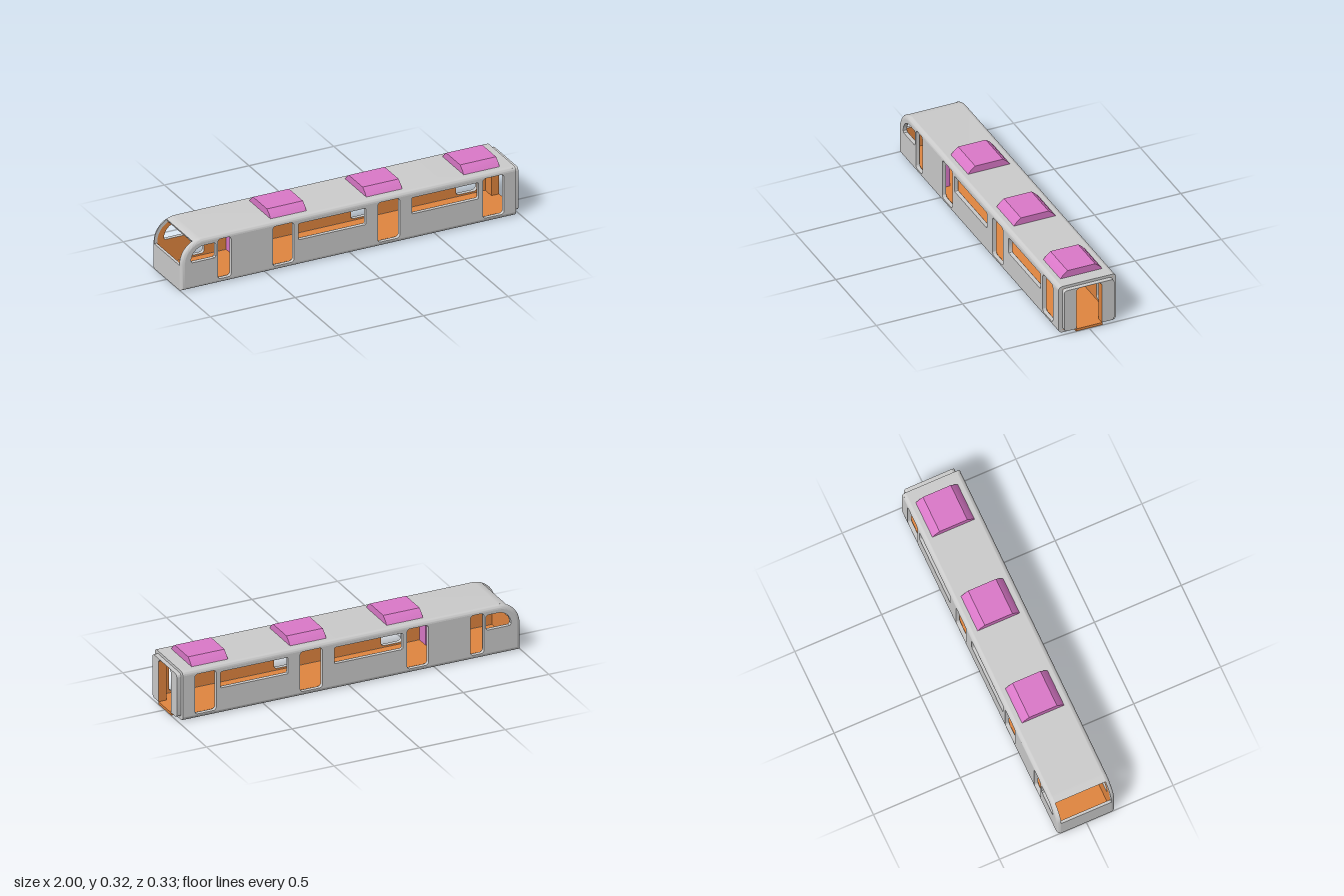
import * as THREE from 'three';
import { toCreasedNormals } from 'three/addons/utils/BufferGeometryUtils.js';

const REAR = 0.975, TOP = 0.283, HALF = 0.167, R = 0.022, NOSE = 0.13, SILL = 0.145;
const mat = (color, side = THREE.FrontSide) => new THREE.MeshStandardMaterial({ color, side });
const grey = mat(0xcccccc);
const orange = mat(0xe0853f, THREE.DoubleSide);
const pink = mat(0xda78c8);

function add(group, name, geometry, material) {
  const mesh = new THREE.Mesh(geometry, material);
  mesh.name = name;
  group.add(mesh);
}
const pts = (list) => list.map(([x, y]) => new THREE.Vector2(x, y));

// Curved part of the nose, from the roof down to a given angle (0 = roof, 90 = front)
function noseArc(inset, from = 0, to = 90, n = 16) {
  const out = [], r = NOSE - inset;
  for (let i = 0; i <= n; i++) {
    const a = THREE.MathUtils.degToRad(from + (to - from) * i / n);
    out.push([-1 + NOSE - r * Math.sin(a), TOP - NOSE + r * Math.cos(a)]);
  }
  return out;
}
// Side outline of the carriage, moved inwards by an inset
const outline = (i) => [[REAR, TOP - i], ...noseArc(i), [-1 + i, i], [REAR, i]];

function roundedRect(x0, y0, x1, y1, r, C = THREE.Shape) {
  const s = new C();
  s.moveTo(x0 + r, y0).lineTo(x1 - r, y0).absarc(x1 - r, y0 + r, r, -Math.PI / 2, 0);
  s.lineTo(x1, y1 - r).absarc(x1 - r, y1 - r, r, 0, Math.PI / 2);
  s.lineTo(x0 + r, y1).absarc(x0 + r, y1 - r, r, Math.PI / 2, Math.PI);
  s.lineTo(x0, y0 + r).absarc(x0 + r, y0 + r, r, Math.PI, Math.PI * 1.5);
  return s;
}

// Side shape with door and window openings
function sideShape(inset) {
  const shape = new THREE.Shape(pts(outline(inset)));
  const doors = [[-0.785, -0.705], [-0.46, -0.335], [0.16, 0.29], [0.78, 0.905]];
  for (const [a, b] of doors) shape.holes.push(roundedRect(a, 0.026, b, 0.258, 0.018, THREE.Path));
  const windows = [[-0.31, 0.09], [0.36, 0.755]];
  for (const [a, b] of windows) shape.holes.push(roundedRect(a, 0.148, b, 0.243, 0.008, THREE.Path));
  const cab = new THREE.Path();
  cab.moveTo(-0.935, 0.155).lineTo(-0.805, 0.155).lineTo(-0.797, 0.163).lineTo(-0.797, 0.235);
  cab.lineTo(-0.805, 0.243).lineTo(-0.865, 0.243).absarc(-0.865, 0.165, 0.078, Math.PI / 2, Math.PI);
  shape.holes.push(cab);
  return shape;
}

// Rounded edge joining a side wall to the roof, nose and floor
function rim(sign) {
  const rows = [], position = [], index = [];
  for (let k = 0; k <= 6; k++) {
    const a = k / 6 * Math.PI / 2;
    rows.push([R * (1 - Math.sin(a)), HALF - R + R * Math.cos(a)]);
  }
  rows.push([R, HALF - R]);
  for (const [inset, z] of rows) for (const [x, y] of outline(inset)) position.push(x, y, z * sign);
  const n = outline(0).length;
  for (let r = 0; r < rows.length - 1; r++) {
    for (let i = 0; i < n - 1; i++) {
      const a = r * n + i, b = a + 1, c = a + n, d = c + 1;
      index.push(...(sign > 0 ? [a, c, b, b, c, d] : [a, b, c, b, d, c]));
    }
  }
  const g = new THREE.BufferGeometry();
  g.setAttribute('position', new THREE.Float32BufferAttribute(position, 3));
  g.setIndex(index);
  return toCreasedNormals(g.toNonIndexed(), 0.6);
}

// Solid panel spanning the width, between an outer and an inner path
function panel(outer, inner, half) {
  const shape = new THREE.Shape(pts([...outer, ...inner.slice().reverse()]));
  const g = new THREE.ExtrudeGeometry(shape, { depth: half * 2, bevelEnabled: false });
  return toCreasedNormals(g.translate(0, 0, -half), 0.5);
}

// Cross-section drawn in width and height, extruded along the carriage
function crossPart(shape, x0, x1) {
  const g = new THREE.ExtrudeGeometry(shape, { depth: x1 - x0, bevelEnabled: false, curveSegments: 8 });
  return toCreasedNormals(g.rotateY(Math.PI / 2).translate(x0, 0, 0), 0.5);
}

// Rounded bulkhead with a doorway cut through its bottom edge
function portal(half, y0, y1, r) {
  const s = new THREE.Shape();
  s.moveTo(0.075, y0).lineTo(half - r, y0).absarc(half - r, y0 + r, r, -Math.PI / 2, 0);
  s.lineTo(half, y1 - r).absarc(half - r, y1 - r, r, 0, Math.PI / 2);
  s.lineTo(-half + r, y1).absarc(-half + r, y1 - r, r, Math.PI / 2, Math.PI);
  s.lineTo(-half, y0 + r).absarc(-half + r, y0 + r, r, Math.PI, Math.PI * 1.5);
  s.lineTo(-0.075, y0).lineTo(-0.075, 0.25).lineTo(-0.06, 0.265);
  s.lineTo(0.06, 0.265).lineTo(0.075, 0.25).lineTo(0.075, y0);
  return s;
}

export function createModel() {
  const model = new THREE.Group();
  model.name = 'railCarriage';
  const inside = HALF - R;

  // Side walls with rounded edges and an orange lining
  for (const sign of [1, -1]) {
    const name = sign > 0 ? 'left' : 'right';
    const wall = new THREE.ExtrudeGeometry(sideShape(R), { depth: R, bevelEnabled: false, curveSegments: 8 });
    wall.translate(0, 0, sign > 0 ? inside : -HALF);
    add(model, name + 'SideWall', toCreasedNormals(wall, 0.6), grey);
    add(model, name + 'EdgeRim', rim(sign), grey);
    const lining = new THREE.ShapeGeometry(sideShape(0.018), 8).translate(0, 0, sign * (inside - 0.001));
    add(model, name + 'SideLining', lining, orange);
  }

  // Roof down to the windscreen, then lower nose and floor
  const roof = (i) => [[REAR, TOP - i], ...noseArc(i, 0, 25, 6)];
  const base = (i) => [[-1 + i, SILL], [-1 + i, i], [REAR, i]];
  add(model, 'roof', panel(roof(0), roof(0.016), inside), grey);
  add(model, 'roofLining', panel(roof(0.016), roof(0.0175), inside), orange);
  add(model, 'noseAndFloor', panel(base(0), base(0.014), inside), grey);
  add(model, 'floorLining', panel(base(0.014), base(0.016), inside), orange);

  // Rear bulkhead and gangway frame
  add(model, 'rearWall', crossPart(portal(HALF, 0, TOP, R), 0.957, REAR), grey);
  add(model, 'rearWallLining', crossPart(portal(inside, 0.01, 0.267, 0.01), 0.954, 0.957), orange);
  add(model, 'gangwayFrame', crossPart(portal(inside, 0.017, 0.267, 0.018), REAR, 1), grey);
  for (const sign of [1, -1]) {
    const jamb = new THREE.BoxGeometry(0.045, 0.25, 0.002).translate(0.977, 0.125, sign * 0.0745);
    add(model, 'gangwayJamb', jamb, orange);
  }
  add(model, 'gangwayThreshold', new THREE.BoxGeometry(0.045, 0.015, 0.15).translate(0.977, 0.0085, 0), orange);

  // Cab partition
  add(model, 'cabPartition', crossPart(portal(inside, 0.014, 0.267, 0.004), -0.575, -0.56), pink);

  // Roof units
  const podShape = new THREE.Shape(pts([
    [-0.123, TOP - 0.002], [0.123, TOP - 0.002], [0.104, 0.304], [0.08, 0.323], [-0.08, 0.323], [-0.104, 0.304],
  ]));
  for (const x of [-0.45, 0.115, 0.69]) add(model, 'roofUnit', crossPart(podShape, x, x + 0.212), pink);

  return model;
}
